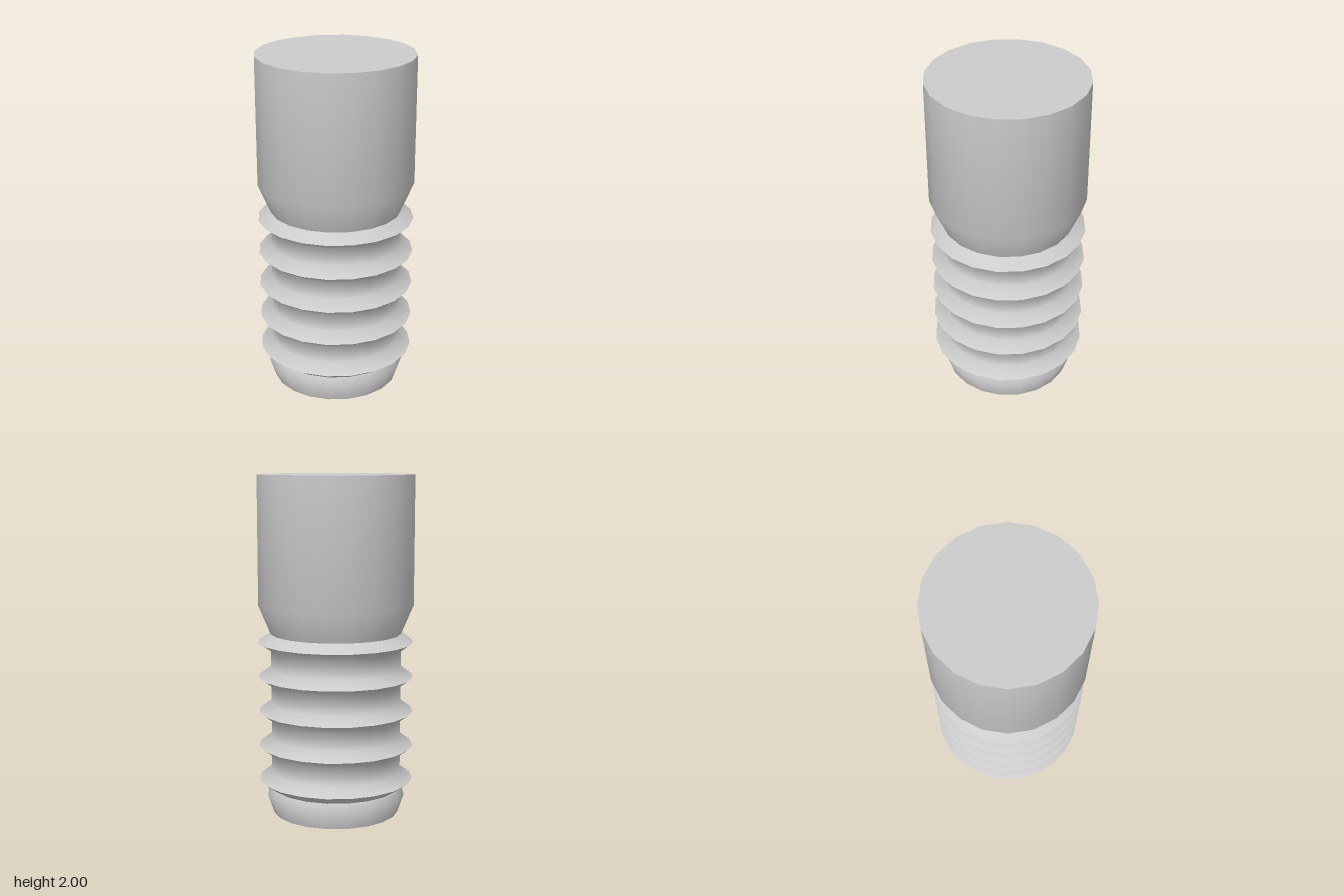
import * as THREE from 'three';
import { toCreasedNormals } from 'three/addons/utils/BufferGeometryUtils.js';

const SIDES = 20;
const CORE = 0.385, RIM = 0.457;

export function createModel() {
  const model = new THREE.Group();
  model.name = 'threadedPlug';
  const material = new THREE.MeshStandardMaterial({ color: 0xcccccc });

  // Turned part from [radius, height] points, listed bottom to top
  const turn = (name, profile) => {
    const points = profile.map(([r, y]) => new THREE.Vector2(r, y));
    const geometry = toCreasedNormals(new THREE.LatheGeometry(points, SIDES), THREE.MathUtils.degToRad(65));
    const mesh = new THREE.Mesh(geometry, material);
    mesh.name = name;
    model.add(mesh);
  };

  // Chamfered foot with its flat underside
  turn('foot', [[0, 0], [0.375, 0], [0.41, 0.105], [CORE, 0.155]]);

  // Ribbed neck: five sharp rings around a straight core
  const ribs = [];
  for (let i = 0; i < 5; i++) {
    const y = 0.205 + i * 0.206;
    ribs.push([CORE, y - 0.05], [RIM, y], [CORE, y + 0.05]);
  }
  turn('ribbedNeck', ribs);

  // Plain head, tapered into the neck, with a flat top
  turn('head', [[CORE, 1.079], [RIM, 1.25], [RIM, 2], [0, 2]]);

  return model;
}
